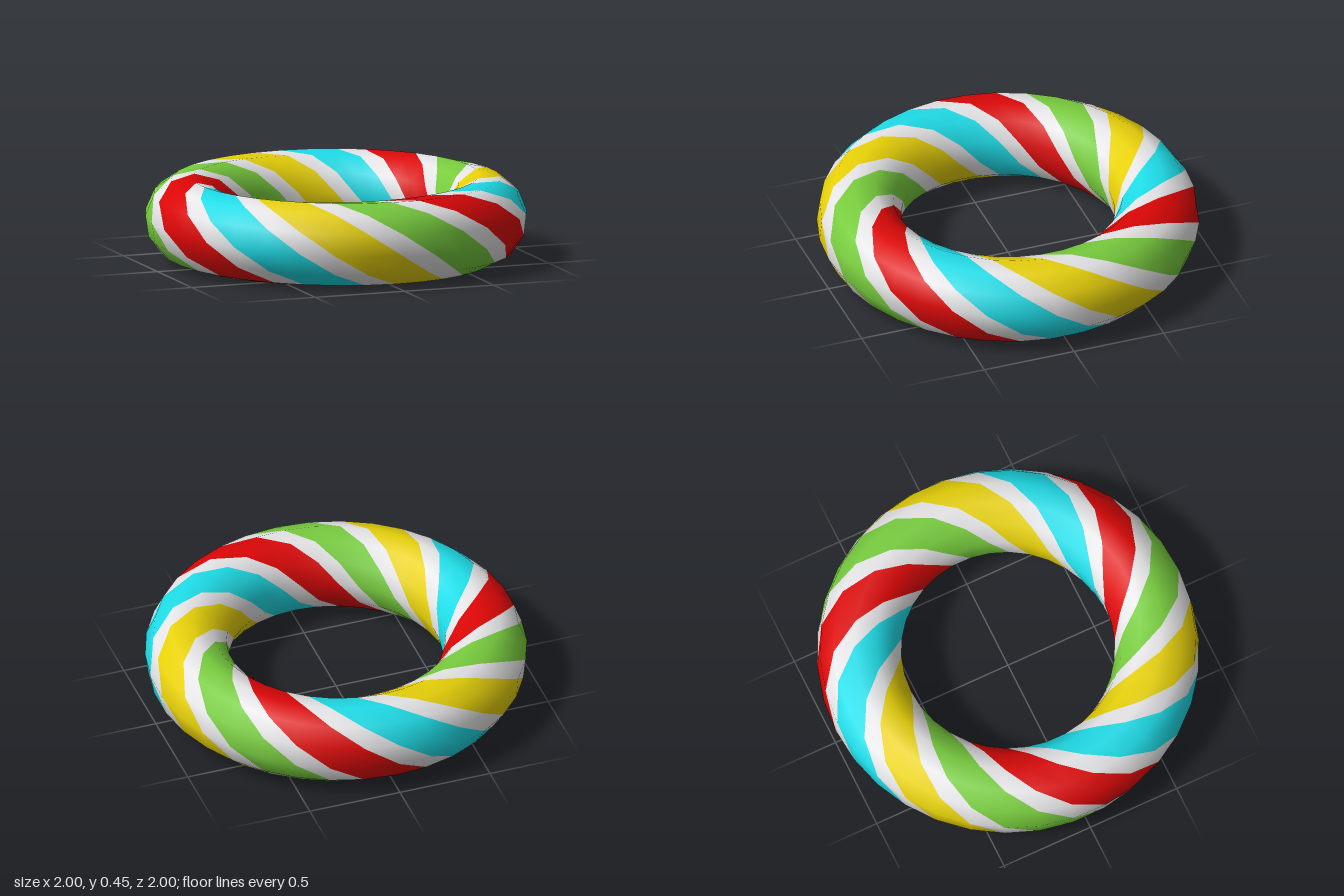
import * as THREE from 'three';

const RINGS = 34, SIDES = 12, TURNS = 3;
const R = 0.78, r = 0.223;
const ROLL = THREE.MathUtils.degToRad(-10.5);

const paint = (name, color) => {
  const m = new THREE.MeshStandardMaterial({ color });
  m.name = name;
  return m;
};

// One twisted strip of the tube, from section corner `first`, `width` faces wide
function stripGeometry(first, width) {
  const pos = [], nor = [], index = [];
  const row = width + 1;
  for (let i = 0; i <= RINGS; i++) {
    const phi = (i / RINGS) * Math.PI * 2 - Math.PI / 2;
    for (let j = 0; j <= width; j++) {
      const v = ((first + j) / SIDES) * Math.PI * 2 + TURNS * phi + ROLL;
      const c = Math.cos(v), s = Math.sin(v), d = R + r * c;
      pos.push(d * Math.cos(phi), r + r * s, d * Math.sin(phi));
      nor.push(c * Math.cos(phi), s, c * Math.sin(phi));
      if (i < RINGS && j < width) {
        const a = i * row + j, b = a + row;
        index.push(a, a + 1, b, a + 1, b + 1, b);
      }
    }
  }
  const g = new THREE.BufferGeometry();
  g.setAttribute('position', new THREE.Float32BufferAttribute(pos, 3));
  g.setAttribute('normal', new THREE.Float32BufferAttribute(nor, 3));
  g.setIndex(index);
  return g;
}

export function createModel() {
  const group = new THREE.Group();
  group.name = 'stripedRing';
  const white = paint('white', 0xe6e6e8);
  const colours = [
    paint('yellow', 0xe8d208),
    paint('green', 0x78cc3e),
    paint('red', 0xdc0606),
    paint('cyan', 0x1edde8),
  ];

  // Narrow white stripe followed by a wide coloured one, four times round the tube
  colours.forEach((material, k) => {
    const gap = new THREE.Mesh(stripGeometry(k * 3, 1), white);
    gap.name = 'whiteStripe' + (k + 1);
    const stripe = new THREE.Mesh(stripGeometry(k * 3 + 1, 2), material);
    stripe.name = material.name + 'Stripe';
    group.add(gap, stripe);
  });
  return group;
}
